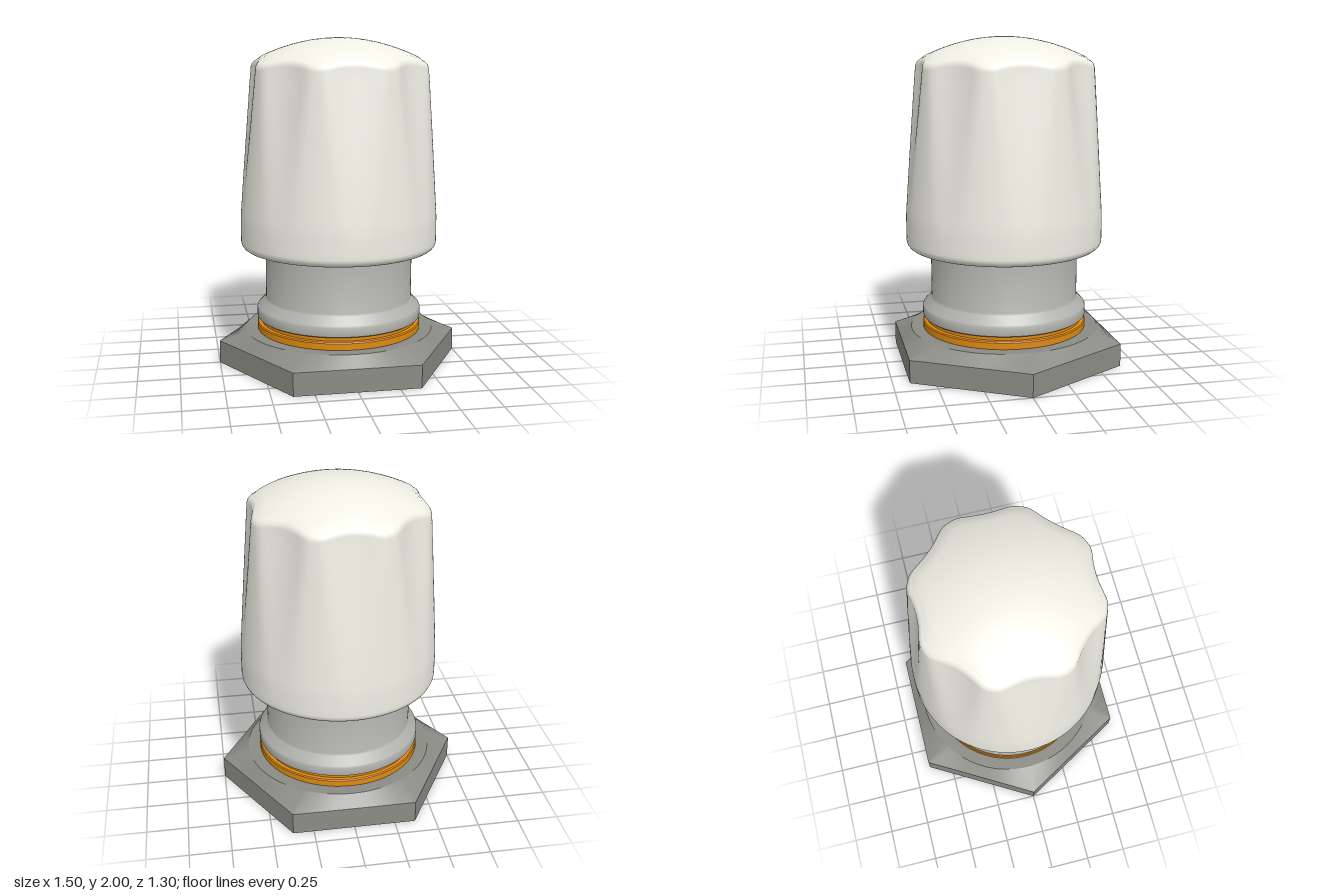
import * as THREE from 'three';
import { toCreasedNormals } from 'three/addons/utils/BufferGeometryUtils.js';

// Skin a stack of closed rings, listed from the bottom up; each ring maps an angle to [radius, y].
function loft(rings, n, crease) {
  const pos = [], index = [];
  rings.forEach((ring, i) => {
    for (let j = 0; j < n; j++) {
      const t = (j / n) * Math.PI * 2;
      const [r, y] = ring(t);
      pos.push(r * Math.cos(t), y, r * Math.sin(t));
      if (i === 0) continue;
      const k = (j + 1) % n, lo = (i - 1) * n, hi = i * n;
      index.push(lo + j, hi + j, lo + k, lo + k, hi + j, hi + k);
    }
  });
  const geo = new THREE.BufferGeometry();
  geo.setAttribute('position', new THREE.Float32BufferAttribute(pos, 3));
  geo.setIndex(index);
  geo.computeVertexNormals();
  return crease ? toCreasedNormals(geo, crease) : geo;
}

function lathe(points) {
  const geo = new THREE.LatheGeometry(points.map(([r, y]) => new THREE.Vector2(r, y)), 96);
  return toCreasedNormals(geo, 0.45);
}

// Angle to the nearest of `count` evenly spaced directions
function fold(t, count, offset = 0) {
  const step = (Math.PI * 2) / count;
  const u = (t - offset) / step;
  return (u - Math.round(u)) * step;
}

function smoothMin(a, b, k) {
  const h = Math.max(k - Math.abs(a - b), 0) / k;
  return Math.min(a, b) - (h * h * k) / 4;
}

// Tapered grip outline with eight grooves that deepen toward the top
function gripRadius(t, y) {
  const lobe = 0.605 - 0.064 * Math.max(0, y - 0.92);
  const floor = 0.605 - 0.122 * (y - 0.95);
  const s = 0.56 * fold(t, 8);
  return smoothMin(lobe, floor + 1.7 * s * s, 0.02);
}

const dome = (r) => 2 - 0.5 * r * r;

function knobGeometry() {
  const rings = [() => [0.44, 0.715]];
  // Rounded lower rim
  for (let i = 0; i <= 6; i++) {
    const a = (i / 6) * Math.PI / 2;
    rings.push((t) => [gripRadius(t, 0.77) - 0.05 * (1 - Math.sin(a)), 0.765 - 0.05 * Math.cos(a)]);
  }
  // Fluted side, ending just under the domed top
  const f = 0.055;
  const edge = (t) => {
    const r = gripRadius(t, 1.82);
    return [r, dome(r - f * 0.5) - f];
  };
  for (let i = 1; i < 28; i++) {
    rings.push((t) => {
      const y = THREE.MathUtils.lerp(0.765, edge(t)[1], i / 28);
      return [gripRadius(t, Math.min(y, 1.82)), y];
    });
  }
  // Rounded upper rim
  for (let i = 0; i <= 7; i++) {
    const a = (i / 7) * 1.2;
    rings.push((t) => {
      const [r, y] = edge(t);
      return [r - f * (1 - Math.cos(a)), y + f * Math.sin(a)];
    });
  }
  // Dome, fading from the fluted outline to the centre
  for (let i = 1; i <= 14; i++) {
    rings.push((t) => {
      const r = (edge(t)[0] - f) * (1 - (i - 1) / 13);
      return [r, dome(r)];
    });
  }
  return loft(rings, 192);
}

// Hexagonal nut whose chamfer runs from the hexagon to a round top
function nutGeometry() {
  const hex = (t) => 0.65 / Math.cos(fold(t, 6, Math.PI / 6));
  return loft([
    () => [0, 0],
    (t) => [hex(t), 0],
    (t) => [hex(t), 0.14],
    () => [0.585, 0.205],
    () => [0, 0.205],
  ], 96, 0.3);
}

export function createModel() {
  const group = new THREE.Group();
  const add = (name, geo, color) => {
    const mesh = new THREE.Mesh(geo, new THREE.MeshStandardMaterial({ color }));
    mesh.name = name;
    group.add(mesh);
  };

  add('hexNut', nutGeometry(), 0x8c8c86);

  // Stepped coloured washer
  add('colourRing', lathe([
    [0, 0.2], [0.505, 0.2], [0.51, 0.208], [0.51, 0.245], [0.505, 0.252],
    [0.485, 0.254], [0.485, 0.282], [0, 0.282],
  ]), 0xe08a10);

  // Neck with flared collar
  add('neckCollar', lathe([
    [0, 0.278], [0.5, 0.278], [0.508, 0.284], [0.51, 0.292], [0.51, 0.338],
    [0.505, 0.35], [0.46, 0.394], [0.455, 0.406], [0.455, 0.73], [0, 0.73],
  ]), 0xb4b4b0);

  add('flutedKnob', knobGeometry(), 0xf0f0e6);
  return group;
}
